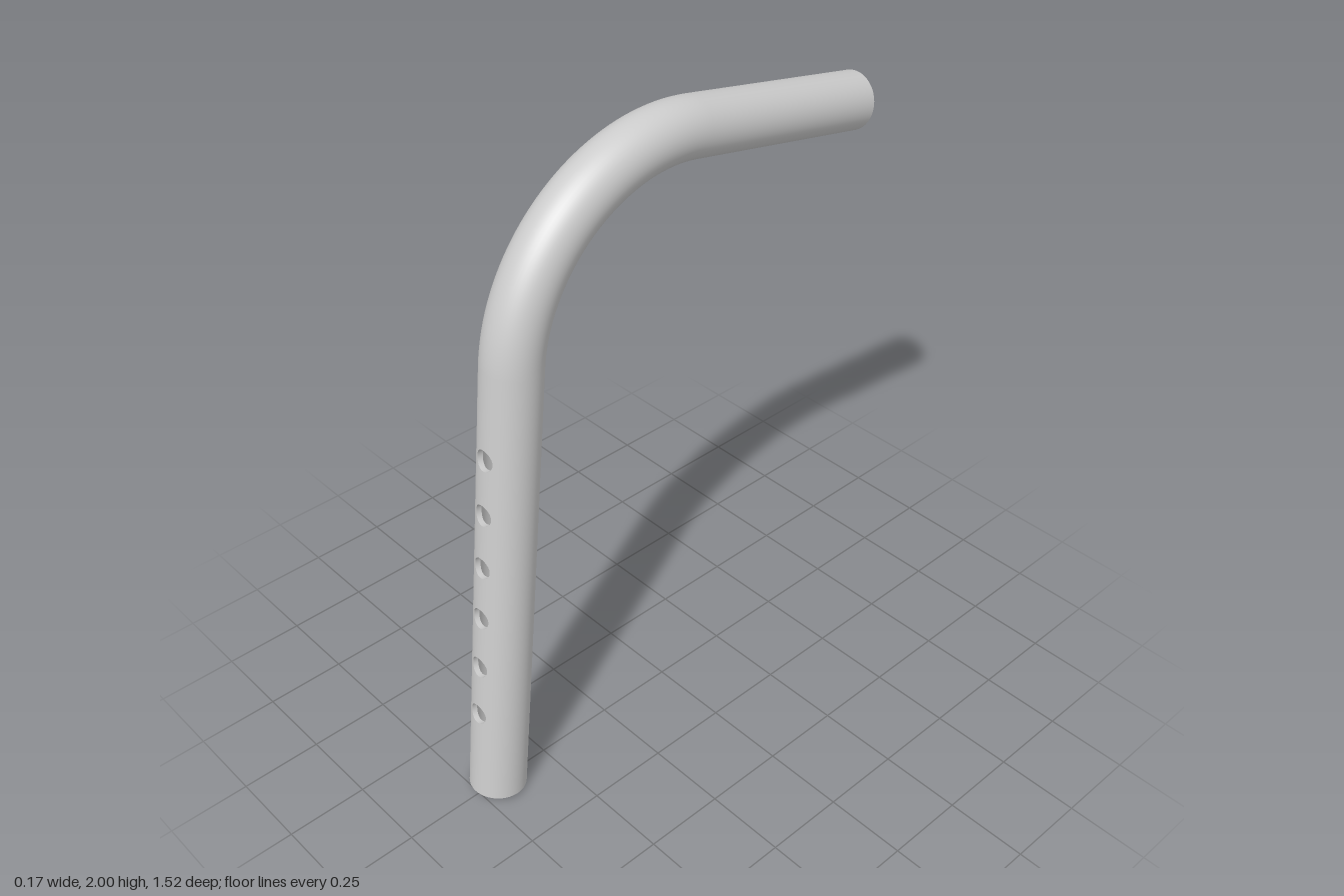
import * as THREE from 'three';
import { ParametricGeometry } from 'three/addons/geometries/ParametricGeometry.js';

const OUTER = 0.086, INNER = 0.07;          // tube radii
const BEND = 0.53, BEND_Y = 1.384;          // bend radius and centre height
const A0 = THREE.MathUtils.degToRad(6), A1 = THREE.MathUtils.degToRad(101);
const LEG = 1.438, ARM = 0.653, ARC = BEND * (A1 - A0), TOTAL = LEG + ARC + ARM;
const HOLE = 0.032, FIRST = 0.305, PITCH = 0.175, COUNT = 6;
const SEG = 48, Q = Math.PI / 4;

// Point at distance s along the tube, angle t around it (0 = front), radius r
function place(s, t, r, target) {
  const d = s - LEG;
  const a = THREE.MathUtils.clamp(A0 + d / BEND, A0, A1);
  const extra = d - (a - A0) * BEND;
  const k = BEND + r * Math.cos(t);
  target.set(
    r * Math.sin(t),
    BEND_Y + k * Math.sin(a) + extra * Math.cos(a),
    k * Math.cos(a) - extra * Math.sin(a)
  );
}

export function createModel() {
  const model = new THREE.Group();
  model.name = 'bentTube';
  const material = new THREE.MeshStandardMaterial({ color: 0xcccccc });

  const add = (name, nu, nv, fn) => {
    const mesh = new THREE.Mesh(new ParametricGeometry(fn, nu, nv), material);
    mesh.name = name;
    model.add(mesh);
  };

  // Wall section spanning s0..s1 and t0..t1, outside and inside skins
  const wall = (name, s0, s1, t0, t1, nv) => {
    const nu = Math.round(SEG * (t1 - t0) / (2 * Math.PI));
    const lerp = THREE.MathUtils.lerp;
    add(name + 'Outside', nu, nv, (u, v, p) => place(lerp(s0, s1, v), lerp(t0, t1, u), OUTER, p));
    add(name + 'Inside', nu, nv, (u, v, p) => place(lerp(s0, s1, v), lerp(t1, t0, u), INNER, p));
  };

  // Square patch of wall with a round hole
  const holedPatch = (name, r, s, t, dir) => add(name, SEG, 4, (u, v, p) => {
    const phi = dir * 2 * Math.PI * u, c = Math.cos(phi), n = Math.sin(phi);
    const edge = (q) => THREE.MathUtils.clamp(Math.asin(q) / Q, -1, 1);
    const dt = THREE.MathUtils.lerp(Math.asin(HOLE * c / r), Q * edge(c), v);
    const ds = THREE.MathUtils.lerp(HOLE * n, PITCH / 2 * edge(n), v);
    place(s + ds, t + dt, r, p);
  });

  // Drilled leg: plain foot, side strips, holed patches front and back
  const low = FIRST - PITCH / 2, high = low + COUNT * PITCH;
  wall('foot', 0, low, 0, 2 * Math.PI, 1);
  wall('legLeftSide', low, high, Q, 3 * Q, COUNT);
  wall('legRightSide', low, high, 5 * Q, 7 * Q, COUNT);
  for (let i = 0; i < COUNT; i++) {
    const s = FIRST + i * PITCH;
    for (const [side, t] of [['front', 0], ['back', Math.PI]]) {
      holedPatch(side + 'HoleOutside' + i, OUTER, s, t, -1);
      holedPatch(side + 'HoleInside' + i, INNER, s, t, 1);
      // Bore through the wall thickness
      add(side + 'HoleBore' + i, SEG, 1, (u, v, p) => {
        const phi = -2 * Math.PI * u, r = INNER + (OUTER - INNER) * v;
        place(s + HOLE * Math.sin(phi), t + Math.asin(HOLE * Math.cos(phi) / r), r, p);
      });
    }
  }

  // Plain upper leg, bend and arm
  wall('upperLeg', high, LEG, 0, 2 * Math.PI, 1);
  wall('bend', LEG, LEG + ARC, 0, 2 * Math.PI, 40);
  wall('arm', LEG + ARC, TOTAL, 0, 2 * Math.PI, 1);

  // Flat rims at both open ends
  const rim = (name, s, dir) => add(name, SEG, 1, (u, v, p) =>
    place(s, dir * 2 * Math.PI * u, INNER + (OUTER - INNER) * v, p));
  rim('footRim', 0, 1);
  rim('armRim', TOTAL, -1);

  return model;
}
